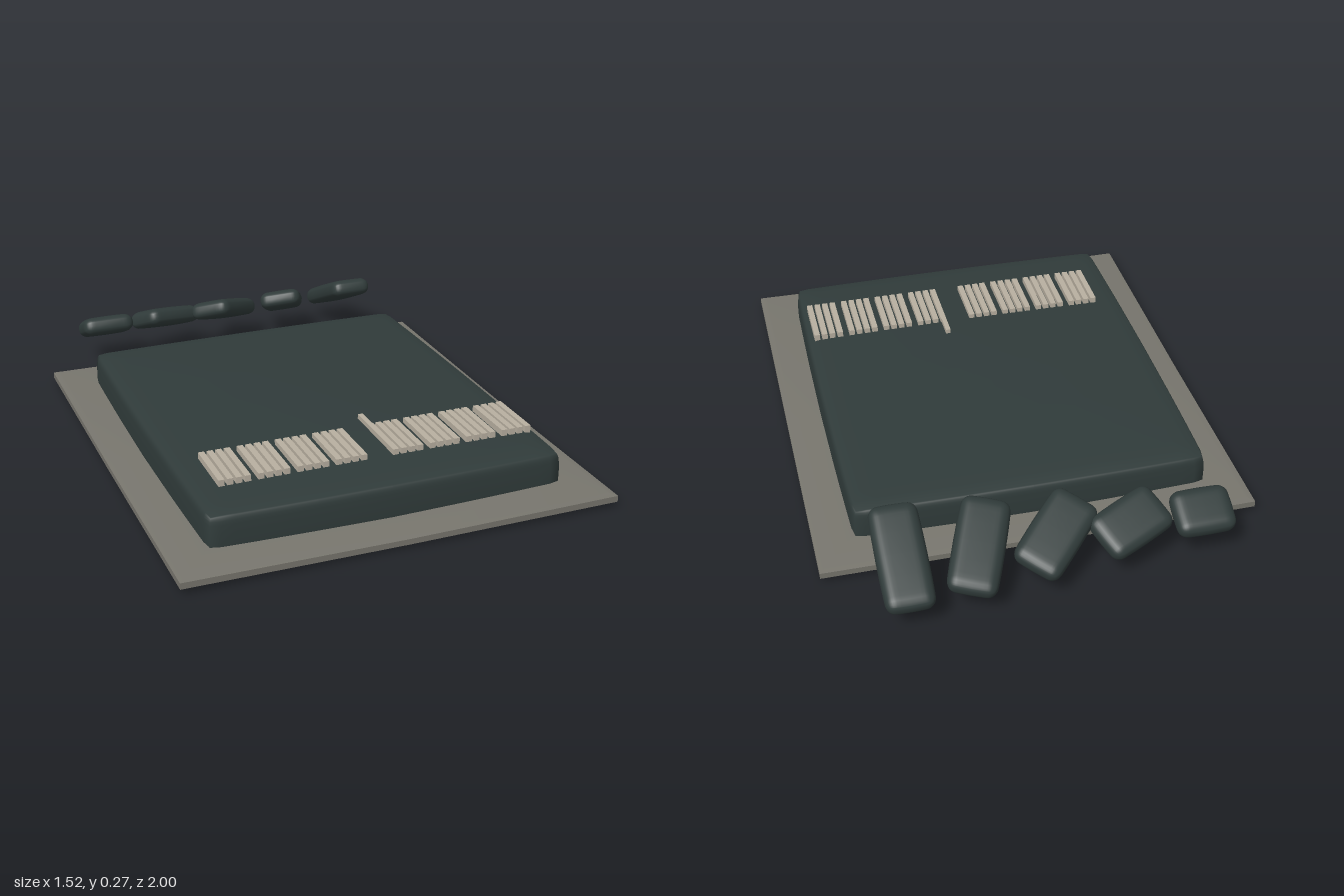
import * as THREE from 'three';
import { mergeVertices, toCreasedNormals } from 'three/addons/utils/BufferGeometryUtils.js';

// Rounded, slightly swollen box; r is the edge radius, bulge the swelling of the top and sides
function pillow(w, h, d, r, bulge, taper) {
  let g = new THREE.BoxGeometry(2, 2, 2, 14, 10, 14);
  g.deleteAttribute('uv');
  g.deleteAttribute('normal');
  g = mergeVertices(g);
  const p = g.attributes.position;
  const half = [w / 2, h / 2, d / 2];
  const v = new THREE.Vector3(), inner = new THREE.Vector3();
  for (let i = 0; i < p.count; i++) {
    v.fromBufferAttribute(p, i);
    const n = v.toArray().map((t) => Math.sign(t) * Math.pow(Math.abs(t), 0.45));
    v.set(n[0] * half[0], n[1] * half[1], n[2] * half[2]);
    inner.set(...v.toArray().map((t, k) => THREE.MathUtils.clamp(t, r - half[k], half[k] - r)));
    v.sub(inner);
    if (v.length() > 0) v.setLength(r);
    v.add(inner);
    const [a, b, c] = [v.x / half[0], v.y / half[1], v.z / half[2]];
    const narrow = 1 - taper * Math.max(0, b) ** 2;
    p.setXYZ(i,
      v.x * narrow + a * bulge * (1 - c * c),
      v.y + b * bulge * (1 - a * a) * (1 - c * c),
      v.z * narrow + c * bulge * (1 - a * a));
  }
  g.computeVertexNormals();
  return g;
}

// Eight-point loops stacked from the underside to the top: [corner scale, middle scale, corner y, middle y]
function plinthGeometry(hx, hz) {
  const loops = [
    [0, 0, 0.002, 0.002],
    [0.42, 0.55, 0.003, 0.003],
    [0.75, 0.985, 0.01, 0.011],
    [1, 1, 0.018, 0.014],
    [1, 1, 0.04, 0.034],
    [0.97, 0.97, 0.044, 0.037],
    [0.81, 0.81, 0.052, 0.045],
    [0, 0, 0.052, 0.052],
  ];
  const dirs = [[1, 0], [1, 1], [0, 1], [-1, 1], [-1, 0], [-1, -1], [0, -1], [1, -1]];
  const pos = [], idx = [];
  for (const [c, m, yc, ym] of loops) {
    dirs.forEach(([x, z], k) => {
      const s = k % 2 ? c : m;
      pos.push(x * s * hx, k % 2 ? yc : ym, z * s * hz);
    });
  }
  for (let i = 0; i < loops.length - 1; i++) {
    for (let k = 0; k < 8; k++) {
      const a = i * 8 + k, b = i * 8 + (k + 1) % 8;
      idx.push(a, a + 8, b, b, a + 8, b + 8);
    }
  }
  const g = new THREE.BufferGeometry();
  g.setAttribute('position', new THREE.Float32BufferAttribute(pos, 3));
  g.setIndex(idx);
  return toCreasedNormals(g, 0.25);
}

export function createModel() {
  const group = new THREE.Group();
  const material = (name, color) => {
    const m = new THREE.MeshStandardMaterial({ color });
    m.name = name;
    return m;
  };
  const slate = material('dark slate', 0x303b3a);
  const stone = material('grey stone', 0x77756d);
  const ivory = material('pale ivory', 0xb8afa0);
  const add = (name, geometry, mat, x, y, z, parent = group) => {
    const mesh = new THREE.Mesh(geometry, mat);
    mesh.name = name;
    mesh.position.set(x, y, z);
    parent.add(mesh);
    return mesh;
  };
  const midZ = 0.15;

  // Flat plinth, with the slab's underside just showing in its middle
  add('plinth', plinthGeometry(0.762, 0.85), stone, 0, 0, midZ);
  add('undersidePatch', new THREE.CylinderGeometry(0.1, 0.1, 0.006, 8), slate, 0, 0.003, midZ);

  // Cushion-like main slab
  add('slab', pillow(1.25, 0.14, 1.42, 0.022, 0.009, 0.012), slate, 0, 0.091, 0.147);

  // Five pebbles fanning round along the back edge, all leaning backwards
  const pebbles = new THREE.Group();
  pebbles.name = 'pebbles';
  group.add(pebbles);
  const fan = [
    // x, y, z, length, width, turn in degrees
    [-0.51, 0.158, -0.828, 0.2, 0.16, 0],
    [-0.26, 0.16, -0.828, 0.25, 0.17, 24],
    [-0.005, 0.162, -0.825, 0.3, 0.17, 47],
    [0.253, 0.165, -0.825, 0.335, 0.165, 69],
    [0.508, 0.172, -0.825, 0.365, 0.162, 90],
  ];
  for (const [x, y, z, length, width, turn] of fan) {
    const pebble = add('pebble', pillow(length, 0.066, width, 0.032, 0.004, 0.03), slate, x, y, z, pebbles);
    pebble.rotation.set(-0.43, THREE.MathUtils.degToRad(turn), 0);
  }

  // Two rows of raised bars near the front, in clusters of four
  const bars = new THREE.Group();
  bars.name = 'bars';
  group.add(bars);
  const bar = new THREE.BoxGeometry(0.021, 0.03, 0.215);
  for (const start of [-0.53, 0.083]) {
    for (let cluster = 0; cluster < 4; cluster++) {
      for (let k = 0; k < 4; k++) {
        add('bar', bar, ivory, start + 0.0105 + cluster * 0.136 + k * 0.03, 0.17, 0.57, bars);
      }
    }
  }
  // One bar runs further back than the rest
  add('longBar', new THREE.BoxGeometry(0.018, 0.03, 0.1), ivory, 0.092, 0.17, 0.43, bars);

  return group;
}
